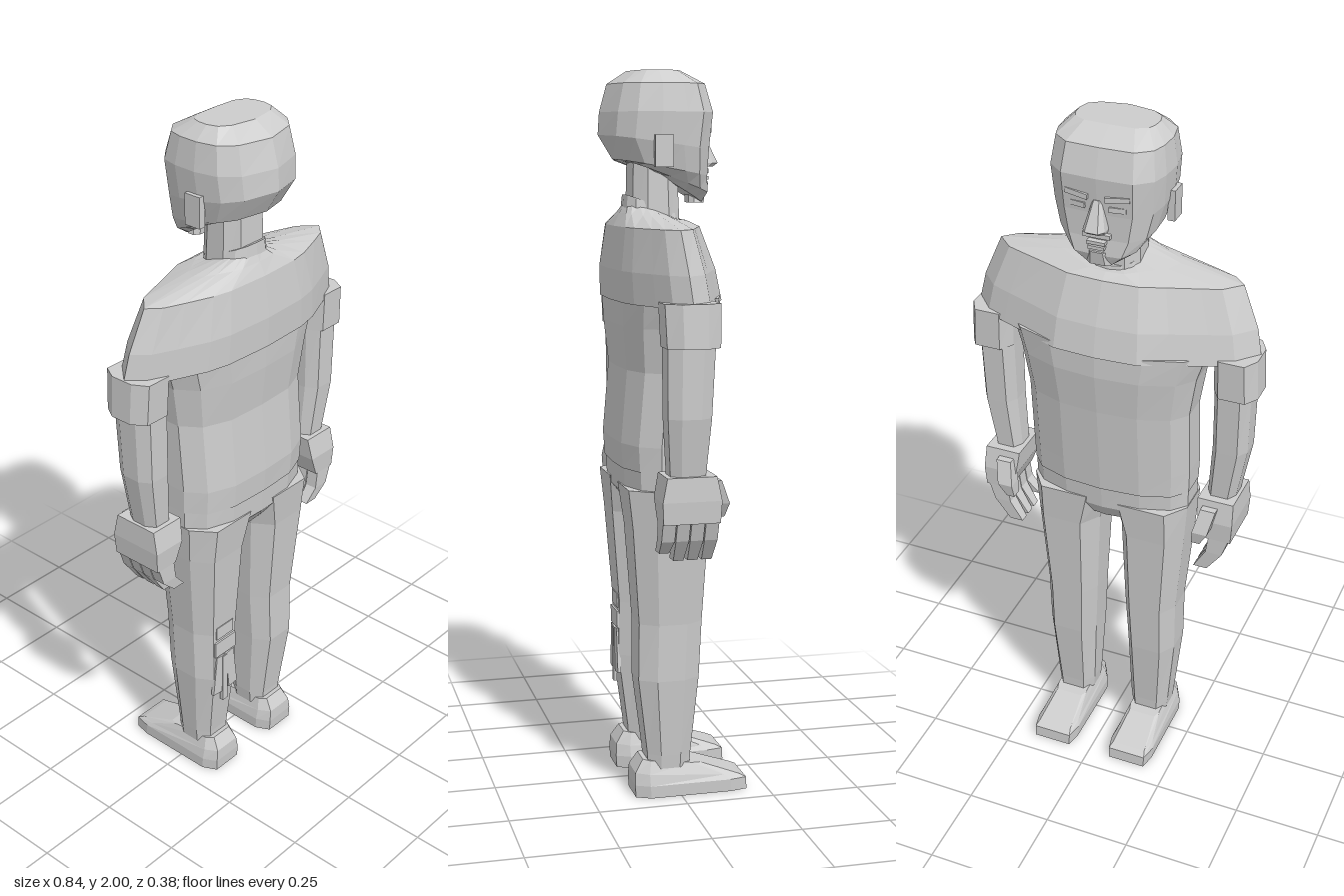
import * as THREE from 'three';

const grey = new THREE.MeshStandardMaterial({ color: 0xcccccc });
grey.name = 'plain grey';

// Half outlines from back centre to front centre: [sideways 0..1, depth +1 back .. -1 front]
const LENS = [[0, 1], [.36, .95], [.52, .85], [.74, .6], [.9, .4], [1, .1], [.87, -.3], [.72, -.47], [.48, -.73], [.29, -.95], [0, -1]];
const TRUNK = [[0, 1], [.5, .96], [.84, .72], [1, .3], [1, -.35], [.84, -.7], [.48, -.93], [0, -1]];
const LIMB = [[0, 1], [.6, 1], [1, .45], [1, -.45], [.6, -1], [0, -1]];
const SKULL = [[0, 1], [.66, .8], [.92, .5], [1, .05], [.98, -.4], [.9, -.72], [.62, -.97], [0, -1]];
const SHOE = [[0, 1], [.7, 1], [1, .75], [1, -.7], [.85, -1], [0, -1]];
const SQUARE = [[1, 1], [1, -1]];

// Joins rings [y, centreX, halfWidth, zBack, zFront, yFront?] from bottom to top, with flat facets
function loft(half, rings, side = 1) {
  const mirror = half.filter(p => p[0] > 0).reverse().map(([u, v]) => [-u, v]);
  const outline = [...half, ...mirror];
  const n = outline.length, pos = [], idx = [];
  for (const [y, cx, w, zb, zf, yf = y] of rings) {
    for (const [u, v] of outline) {
      const t = (1 - v) / 2;
      pos.push(cx * side + u * w, y + (yf - y) * t, zb + (zf - zb) * t);
    }
  }
  for (let i = 0; i < rings.length - 1; i++) {
    for (let j = 0; j < n; j++) {
      const a = i * n + j, b = i * n + (j + 1) % n;
      idx.push(a, b, b + n, a, b + n, a + n);
    }
  }
  const top = (rings.length - 1) * n;
  for (let j = 1; j < n - 1; j++) {
    idx.push(0, j + 1, j, top, top + j, top + j + 1);
  }
  const g = new THREE.BufferGeometry();
  g.setAttribute('position', new THREE.Float32BufferAttribute(pos, 3));
  g.setIndex(idx);
  const flat = g.toNonIndexed();
  flat.computeVertexNormals();
  return flat;
}

export function createModel() {
  const model = new THREE.Group();
  const add = (name, geometry, parent = model) => {
    const m = new THREE.Mesh(geometry, grey);
    m.name = name;
    parent.add(m);
    return m;
  };
  const box = (name, w, h, d, x, y, z, rx = 0, ry = 0, rz = 0) => {
    const m = add(name, new THREE.BoxGeometry(w, h, d));
    m.position.set(x, y, z);
    m.rotation.set(rx, ry, rz);
    return m;
  };

  // Shirt: trunk, then the wide shoulder yoke
  add('shirtTrunk', loft(TRUNK, [
    [.93, 0, .234, .155, -.092],
    [1.0, 0, .236, .16, -.098],
    [1.2, 0, .236, .143, -.115],
    [1.32, 0, .255, .155, -.13],
    [1.4, 0, .28, .158, -.13],
  ]));
  add('shirtShoulders', loft(LENS, [
    [1.385, 0, .412, .162, -.135],
    [1.47, 0, .395, .164, -.118],
    [1.585, 0, .348, .148, -.075],
    [1.62, 0, .17, .13, -.05, 1.6],
    [1.65, 0, .075, .115, -.035, 1.6],
  ]));
  add('collar', loft(TRUNK, [
    [1.6, 0, .08, .125, -.04, 1.57],
    [1.67, 0, .07, .118, -.035, 1.61],
  ]));

  // Hips
  add('hips', loft(TRUNK, [
    [.81, 0, .1, .11, -.05],
    [.86, 0, .232, .148, -.082],
    [.97, 0, .233, .154, -.091],
  ]));

  // Neck and head
  add('neck', loft(LIMB, [[1.55, 0, .075, .105, -.03], [1.78, 0, .07, .1, -.02]]));
  add('head', loft(SKULL, [
    [1.755, 0, .06, .085, -.095, 1.648],
    [1.76, 0, .105, .12, -.105, 1.675],
    [1.765, 0, .132, .15, -.1, 1.72],
    [1.83, 0, .15, .19, -.102, 1.79],
    [1.89, 0, .157, .186, -.112],
    [1.965, 0, .147, .165, -.09],
    [2.0, 0, .11, .11, -.025],
  ]));
  add('nose', loft(LIMB, [
    [1.745, 0, .028, -.08, -.13],
    [1.755, 0, .03, -.08, -.144],
    [1.83, 0, .012, -.08, -.108],
  ]));
  box('moustache', .075, .012, .02, 0, 1.733, -.102);
  box('upperLip', .05, .009, .02, 0, 1.714, -.106);
  box('lowerLip', .045, .009, .02, 0, 1.7, -.105);
  add('goatee', loft(LIMB, [
    [1.647, 0, .035, -.06, -.103],
    [1.685, 0, .028, -.06, -.11],
  ]));

  for (const side of [1, -1]) {
    const label = side > 0 ? 'left' : 'right';
    const part = (name, half, rings) => add(label + name, loft(half, rings, side));

    // Face details and ears
    box(label + 'Eye', .045, .014, .01, side * .055, 1.81, -.1, 0, side * -.15);
    box(label + 'Brow', .065, .014, .02, side * .055, 1.84, -.1, 0, side * -.12, side * .1);
    box(label + 'Ear', .02, .085, .05, side * .153, 1.787, .043);

    // Arm: sleeve, forearm
    part('Sleeve', LIMB, [
      [1.285, .357, .062, .095, -.048],
      [1.4, .353, .06, .1, -.05],
    ]);
    part('Forearm', LIMB, [
      [.93, .325, .04, .075, -.02],
      [1.1, .345, .05, .088, -.03],
      [1.32, .348, .052, .09, -.04],
    ]);

    // Hand with four curled fingers and a thumb
    part('Palm', SQUARE, [
      [.82, .34, .036, .1, -.055],
      [.88, .33, .05, .103, -.058],
      [.945, .325, .052, .09, -.045],
    ]);
    for (let f = 0; f < 4; f++) {
      const zb = .1 - f * .039, tip = f === 0 ? .73 : .708;
      part('Finger', SQUARE, [
        [tip, .288, .02, zb - .004, zb - .032],
        [.77, .328, .024, zb, zb - .036],
        [.83, .342, .03, zb, zb - .036],
      ]);
    }
    part('Thumb', SQUARE, [
      [.82, .285, .012, -.06, -.088],
      [.86, .298, .022, -.052, -.096],
      [.925, .312, .022, -.03, -.07],
    ]);

    // Leg
    part('Leg', LIMB, [
      [.08, .122, .056, .09, -.03],
      [.12, .122, .06, .092, -.032],
      [.34, .127, .074, .12, -.052],
      [.5, .124, .079, .118, -.06],
      [.77, .13, .096, .138, -.074],
      [.88, .118, .116, .15, -.082],
    ]);

    // Shoe
    part('Shoe', SHOE, [
      [0, .123, .066, .128, -.192],
      [.035, .123, .067, .13, -.19],
      [.07, .123, .06, .128, -.17, .045],
      [.105, .122, .048, .105, -.06, .085],
    ]);
  }

  // Small ornament on the back of the right calf
  box('calfOrnamentTop', .07, .04, .01, -.125, .5, .117);
  box('calfOrnamentBand', .085, .05, .01, -.125, .445, .119);
  box('calfOrnamentLeftFlap', .035, .13, .01, -.1, .35, .119, 0, 0, .12);
  box('calfOrnamentRightFlap', .035, .13, .01, -.152, .35, .119, 0, 0, -.12);
  box('calfOrnamentStem', .02, .16, .01, -.13, .33, .121);

  return model;
}
